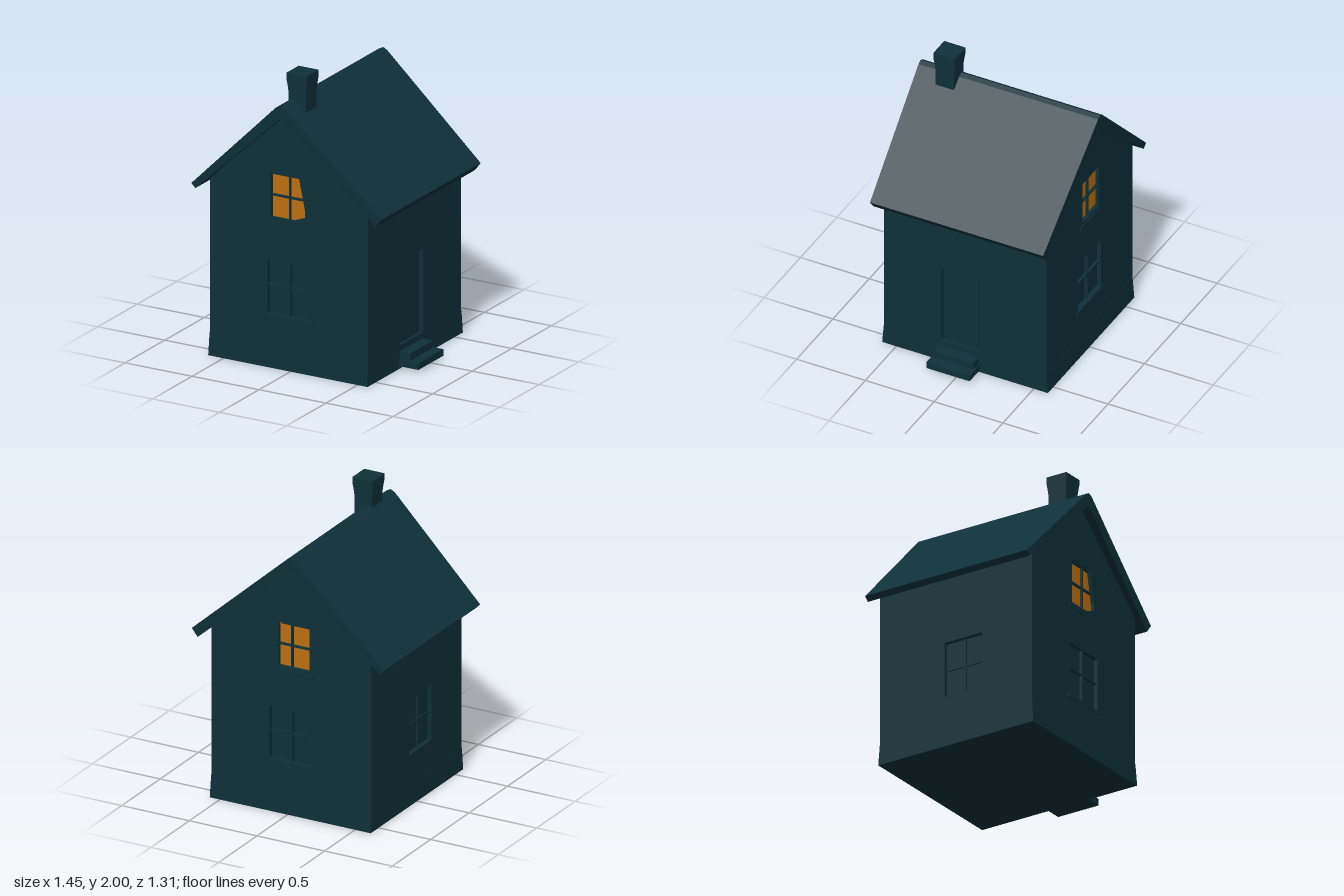
import * as THREE from 'three';

const teal = new THREE.MeshStandardMaterial({ color: 0x0e3139 });
teal.name = 'dark teal';
const amber = new THREE.MeshStandardMaterial({ color: 0xbd7010, side: THREE.DoubleSide });
amber.name = 'amber glow';

const rect = (x0, x1, y0, y1) => [[x0, y0], [x1, y0], [x1, y1], [x0, y1]];
const toPoints = (pts) => pts.map(([x, y]) => new THREE.Vector2(x, y));

// Outlines of the walls and their openings
const GABLE = [[-0.61, 0.01], [0.57, 0.01], [0.57, 1.2], [-0.05, 1.76], [-0.61, 1.21]];
const SIDE = rect(-0.562, 0.562, 0.01, 1.2);
const LOWER = rect(-0.18, 0.14, 0.37, 0.735);
const FRONT_UPPER = [[-0.155, 1.03], [0.01, 1.03], [0.1, 1.065], [0.1, 1.12], [0.055, 1.335], [-0.155, 1.335]];
const BACK_UPPER = rect(-0.155, 0.075, 1.03, 1.335);
const SIDE_WINDOW = rect(-0.09, 0.2, 0.36, 0.74);
const DOOR = rect(-0.105, 0.175, 0.08, 0.73);

function extrude(outline, depth, holes = []) {
  const shape = new THREE.Shape(toPoints(outline));
  holes.forEach((h) => shape.holes.push(new THREE.Path(toPoints(h))));
  return new THREE.ExtrudeGeometry(shape, { depth, bevelEnabled: false });
}

export function createModel() {
  const house = new THREE.Group();
  house.name = 'house';

  const add = (name, geometry, material = teal, x = 0, y = 0, z = 0, ry = 0) => {
    const mesh = new THREE.Mesh(geometry, material);
    mesh.name = name;
    mesh.position.set(x, y, z);
    mesh.rotation.y = ry;
    house.add(mesh);
    return mesh;
  };
  const box = (name, x0, x1, y0, y1, z0, z1) =>
    add(name, new THREE.BoxGeometry(x1 - x0, y1 - y0, z1 - z0), teal, (x0 + x1) / 2, (y0 + y1) / 2, (z0 + z1) / 2);

  // Solid core behind thin wall skins, so openings become shallow recesses
  const core = [[-0.58, 0.01], [0.54, 0.01], [0.54, 1.2], [-0.05, 1.74], [-0.58, 1.2]];
  add('core', extrude(core, 1.12), teal, 0, 0, -0.56);
  add('frontWall', extrude(GABLE, 0.03, [LOWER, FRONT_UPPER]), teal, 0, 0, 0.56);
  add('backWall', extrude(GABLE, 0.03, [LOWER, BACK_UPPER]), teal, 0, 0, -0.59);
  add('leftWall', extrude(SIDE, 0.03, [DOOR]), teal, 0.57, 0, 0, -Math.PI / 2);
  add('rightWall', extrude(SIDE, 0.03, [SIDE_WINDOW]), teal, -0.58, 0, 0, -Math.PI / 2);

  // Plinth with a slightly tapered top
  const plinth = box('plinth', -0.615, 0.575, 0.005, 0.16, -0.602, 0.602).geometry.attributes.position;
  for (let i = 0; i < plinth.count; i++) {
    if (plinth.getY(i) > 0) {
      plinth.setX(i, plinth.getX(i) * 0.993);
      plinth.setZ(i, plinth.getZ(i) * 0.982);
    }
  }

  // Front and back windows: glowing panes above, dark ones below, with bars and sills
  for (const s of [1, -1]) {
    const side = s > 0 ? 'front' : 'back';
    const bar = (name, x0, x1, y0, y1) =>
      box(side + name, x0, x1, y0, y1, s * 0.57 - 0.01, s * 0.57 + 0.01);
    const right = s > 0 ? 0.085 : 0.075;
    const pane = new THREE.Shape(toPoints(s > 0 ? FRONT_UPPER : BACK_UPPER));
    add(side + 'UpperPane', new THREE.ShapeGeometry(pane), amber, 0, 0, s * 0.564);
    bar('UpperMullion', -0.026, -0.014, 1.03, 1.335);
    bar('UpperCrossbar', -0.155, right, 1.175, 1.187);
    bar('UpperHead', -0.155, 0.055, 1.323, 1.335);
    bar('LowerMullion', -0.026, -0.012, 0.37, 0.735);
    bar('LowerCrossbar', -0.18, 0.14, 0.558, 0.572);
    box(side + 'UpperSill', -0.18, 0.11, 0.985, 1.01, s * 0.59 - 0.006, s * 0.59 + 0.006);
    box(side + 'LowerSill', -0.2, 0.16, 0.345, 0.368, s * 0.59 - 0.007, s * 0.59 + 0.007);
  }

  // Side window bars
  box('sideMullion', -0.59, -0.57, 0.36, 0.74, 0.048, 0.062);
  box('sideCrossbar', -0.59, -0.57, 0.543, 0.557, -0.09, 0.2);

  // Door leaf and steps
  box('door', 0.53, 0.548, 0.08, 0.72, -0.09, 0.16);
  box('upperStep', 0.55, 0.65, 0.06, 0.12, -0.1, 0.19);
  box('lowerStep', 0.55, 0.72, 0.025, 0.07, -0.11, 0.205);

  // Roof: one folded slab whose overhang grows toward the ridge
  const slab = [[-0.725, 1.17], [-0.695, 1.14], [-0.05, 1.735], [0.65, 1.12], [0.692, 1.175], [-0.02, 1.81], [-0.05, 1.825], [-0.08, 1.81]];
  const roof = extrude(slab, 1);
  const p = roof.attributes.position;
  for (let i = 0; i < p.count; i++) {
    const reach = 0.628 + 0.025 * (p.getY(i) - 1.13) / 0.69;
    p.setZ(i, p.getZ(i) > 0.5 ? reach : -reach);
  }
  roof.computeVertexNormals();
  add('roof', roof);

  // Chimney: square stack that flares at its cap
  const chimney = new THREE.BoxGeometry(0.13, 0.34, 0.135, 1, 8, 1);
  const c = chimney.attributes.position;
  for (let i = 0; i < c.count; i++) {
    const flare = 1 + 0.15 * THREE.MathUtils.smoothstep(c.getY(i), 0.04, 0.14);
    c.setX(i, c.getX(i) * flare);
    c.setZ(i, c.getZ(i) * flare);
  }
  add('chimney', chimney, teal, -0.015, 1.83, 0.425);

  return house;
}
